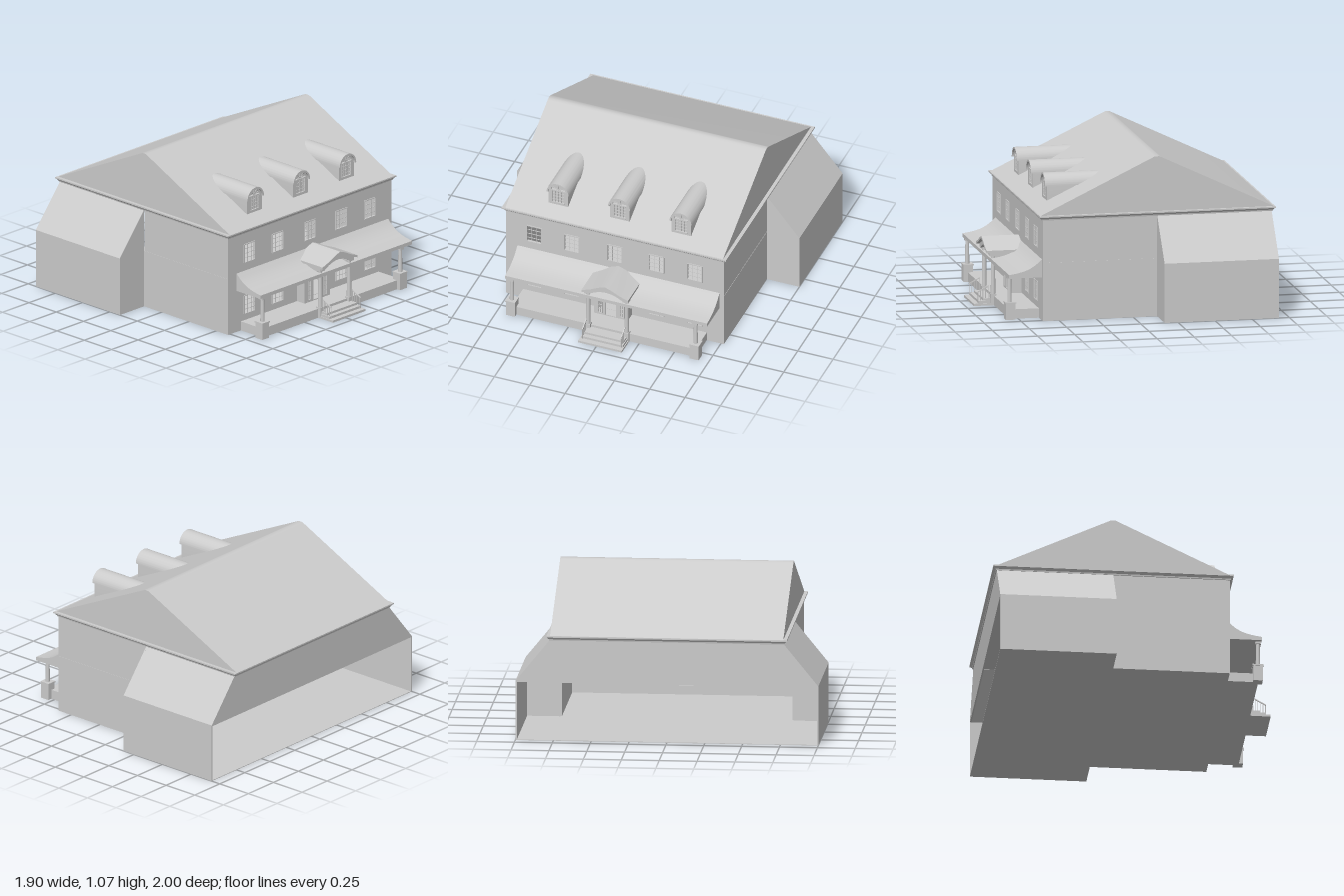
import * as THREE from 'three';
import { mergeGeometries, toCreasedNormals } from 'three/addons/utils/BufferGeometryUtils.js';

const mat = new THREE.MeshStandardMaterial({ color: 0xcccccc, side: THREE.DoubleSide });

// Built with the entrance facing local +z, then turned to face +x.
function box(x0, x1, y0, y1, z0, z1) {
  return new THREE.BoxGeometry(x1 - x0, y1 - y0, z1 - z0)
    .translate((x0 + x1) / 2, (y0 + y1) / 2, (z0 + z1) / 2);
}
const shapeOf = pts => new THREE.Shape(pts.map(p => new THREE.Vector2(...p)));
const rect = (x0, x1, y0, y1) => shapeOf([[x0, y0], [x1, y0], [x1, y1], [x0, y1]]);

// Shape in (x, y) pushed from z0 to z1
function slab(shape, z0, z1) {
  const g = new THREE.ExtrudeGeometry(shape, { depth: z1 - z0, bevelEnabled: false, curveSegments: 20 });
  return toCreasedNormals(g.translate(0, 0, z0), 0.6);
}
// Profile in (z, y) swept along x
function sweepX(pts, x0, x1) {
  return slab(shapeOf(pts.map(([z, y]) => [-z, y])), x0, x1).rotateY(Math.PI / 2);
}
function bar(a, b, t) {
  const A = new THREE.Vector3(...a), d = new THREE.Vector3(...b).sub(A);
  const q = new THREE.Quaternion().setFromUnitVectors(new THREE.Vector3(0, 1, 0), d.clone().normalize());
  return new THREE.BoxGeometry(t, d.length(), t).applyQuaternion(q)
    .translate(A.x + d.x / 2, A.y + d.y / 2, A.z + d.z / 2);
}
// Sash frame with glazing bars
function sash(x, y0, w, h, z, cols, rows) {
  const parts = [], t = 0.003, f = 0.006, l = x - w / 2, r = x + w / 2, y1 = y0 + h;
  for (const e of [l, r]) parts.push(box(e - f / 2, e + f / 2, y0, y1, z - 0.006, z + 0.004));
  for (const e of [y0, y1]) parts.push(box(l, r, e - f / 2, e + f / 2, z - 0.006, z + 0.004));
  for (let i = 1; i < cols; i++) parts.push(box(l + w * i / cols - t / 2, l + w * i / cols + t / 2, y0, y1, z - 0.004, z));
  for (let i = 1; i < rows; i++) parts.push(box(l, r, y0 + h * i / rows - t / 2, y0 + h * i / rows + t / 2, z - 0.004, z));
  return mergeGeometries(parts.map(p => p.toNonIndexed()));
}
// Half-round (or half-oval) outline
function halfOval(x, y, rx, ry) {
  const s = new THREE.Shape();
  s.moveTo(x + rx, y);
  s.absellipse(x, y, rx, ry, 0, Math.PI, false);
  s.closePath();
  return s;
}
// Radiating bars and a small hub for a fanlight
function fan(x, y, rx, ry, z, n) {
  const parts = [slab(halfOval(x, y, rx * 0.3, ry * 0.3), z - 0.004, z)];
  for (let i = 1; i < n; i++) {
    const a = Math.PI * i / n;
    parts.push(bar([x, y, z], [x + rx * Math.cos(a), y + ry * Math.sin(a), z], 0.003).toNonIndexed());
  }
  return mergeGeometries(parts);
}

export function createModel() {
  const root = new THREE.Group(), house = new THREE.Group();
  root.name = 'house';
  house.name = 'houseBody';
  house.rotation.y = Math.PI / 2;
  root.add(house);
  const add = (name, geo, parent = house) => {
    const m = new THREE.Mesh(geo, mat);
    m.name = name;
    parent.add(m);
    return m;
  };

  // Front wall with window and door openings
  const winX = [-0.57, -0.305, 0, 0.295, 0.565], W = 0.104, H = 0.128;
  const front = rect(-0.77, 0.77, 0, 0.68);
  for (const x of winX) {
    const rows = x === 0 ? [0.466] : [0.107, 0.466];
    for (const y of rows) {
      front.holes.push(rect(x - W / 2, x + W / 2, y, y + H));
      add('window', sash(x, y, W, H, 0.612, 3, 4));
    }
  }
  front.holes.push(rect(-0.1, 0.1, 0.065, 0.29));
  add('frontWall', slab(front, 0.595, 0.61));

  // Floor and the open-backed rear
  add('floor', box(-0.77, 0.77, 0, 0.004, -0.93, 0.61));
  add('upperBackWall', slab(shapeOf([[-1, 0.39], [1, 0.39], [0.77, 0.68], [-0.77, 0.68]]), -0.93, -0.92));

  // Side walls and lean-to wings
  for (const s of [-1, 1]) {
    const side = (x0, x1, ...r) => box(Math.min(s * x0, s * x1), Math.max(s * x0, s * x1), ...r);
    add('lowerSideWall', side(0.76, 0.771, 0, 0.39, -0.16, 0.61));
    add('upperSideWall', side(0.76, 0.769, 0.39, 0.68, -0.16, 0.61));
    add('wingFloor', side(0.77, 1, 0, 0.004, -0.93, -0.16));
    add('wingOuterWall', side(0.99, 1, 0, 0.39, -0.93, -0.16));
    add('wingFrontWall', slab(shapeOf([[s * 0.77, 0], [s, 0], [s, 0.39], [s * 0.77, 0.68]]), -0.17, -0.16));
    add('wingRoof', slab(shapeOf([[s * 0.765, 0.685], [s, 0.397], [s, 0.385], [s * 0.765, 0.673]]), -0.93, -0.16));
  }

  // Cornice in flared layers
  [[0.675, 0.684, 0.006, 0.008], [0.684, 0.697, 0.01, 0.02], [0.697, 0.706, 0.024, 0.024]].forEach(([y0, y1, a, b]) => {
    const g = box(-1, 1, y0, y1, -1, 1).toNonIndexed(), p = g.attributes.position;
    for (let i = 0; i < p.count; i++) {
      const o = p.getY(i) > (y0 + y1) / 2 ? b : a;
      p.setX(i, p.getX(i) * (0.77 + o));
      p.setZ(i, -0.16 + p.getZ(i) * (0.77 + o));
    }
    g.computeVertexNormals();
    add('cornice', g);
  });
  add('mainRoof', sweepX([[-0.95, 0.703], [-0.19, 1.066], [-0.175, 1.073], [-0.145, 1.073], [-0.13, 1.066], [0.63, 0.703]], -0.77, 0.77));

  // Barrel-roofed dormers
  for (const x of [-0.435, 0, 0.435]) {
    const dormer = new THREE.Group();
    dormer.name = 'dormer';
    house.add(dormer);
    const arch = r => {
      const s = new THREE.Shape();
      s.moveTo(x - r, 0.752);
      s.lineTo(x + r, 0.752);
      s.lineTo(x + r, 0.852);
      s.absarc(x, 0.852, r, 0, Math.PI, false);
      s.closePath();
      return s;
    };
    add('dormerBody', slab(arch(0.07), 0.13, 0.51), dormer);
    const face = arch(0.07);
    face.holes.push(rect(x - 0.043, x + 0.043, 0.768, 0.864), halfOval(x, 0.869, 0.05, 0.038));
    add('dormerFace', slab(face, 0.51, 0.525), dormer);
    add('dormerWindow', sash(x, 0.768, 0.086, 0.096, 0.522, 4, 4), dormer);
    add('dormerFanlight', fan(x, 0.869, 0.05, 0.038, 0.52, 6), dormer);
    const shell = new THREE.Shape();
    shell.absarc(x, 0.85, 0.078, 0, Math.PI, false);
    shell.absarc(x, 0.85, 0.066, Math.PI, 0, true);
    shell.closePath();
    add('dormerRoof', slab(shell, 0.13, 0.538), dormer);
  }

  // Porch deck, corner posts and swept roof
  add('porchDeck', box(-0.65, 0.65, 0, 0.063, 0.61, 0.81));
  for (const x of [-0.65, 0.65]) {
    add('postPedestal', box(x - 0.032, x + 0.032, 0, 0.108, 0.775, 0.838));
    add('pedestalCap', box(x - 0.035, x + 0.035, 0.108, 0.117, 0.77, 0.842));
    add('porchPost', new THREE.CylinderGeometry(0.012, 0.015, 0.18, 16).translate(x, 0.2, 0.808));
    add('postCapital', box(x - 0.018, x + 0.018, 0.272, 0.288, 0.79, 0.826));
  }
  const curve = new THREE.SplineCurve([[0.61, 0.41], [0.65, 0.373], [0.7, 0.343], [0.76, 0.324], [0.83, 0.312]]
    .map(p => new THREE.Vector2(...p))).getPoints(14).map(v => [v.x, v.y]);
  add('porchRoof', sweepX([...curve, [0.83, 0.288], [0.61, 0.288]], -0.69, 0.74));

  // Entrance vestibule: glazed door, sidelights and fanlight
  const entry = rect(-0.12, 0.12, 0.06, 0.3);
  entry.holes.push(rect(-0.04, 0.04, 0.068, 0.236), halfOval(0, 0.25, 0.085, 0.036));
  for (const s of [-1, 1]) {
    entry.holes.push(rect(s * 0.076 - 0.015, s * 0.076 + 0.015, 0.075, 0.236));
    add('sidelight', sash(s * 0.076, 0.075, 0.03, 0.161, 0.678, 2, 5));
    add('vestibuleSide', box(s * 0.115 - 0.005, s * 0.115 + 0.005, 0.06, 0.3, 0.605, 0.67));
  }
  add('entryWall', slab(entry, 0.668, 0.68));
  add('doorFrame', sash(0, 0.068, 0.08, 0.168, 0.678, 1, 1));
  add('fanlight', fan(0, 0.25, 0.085, 0.036, 0.677, 8));

  // Entrance portico
  const portico = new THREE.Group();
  portico.name = 'portico';
  portico.position.x = 0.027;
  house.add(portico);
  const roofLine = [[-0.165, 0.368], [-0.1, 0.392], [-0.045, 0.42], [0, 0.436], [0.045, 0.42], [0.1, 0.392], [0.165, 0.368]];
  const underside = roofLine.map(([x, y]) => [x, y - 0.016]).reverse();
  add('porticoRoof', slab(shapeOf([...roofLine, ...underside]), 0.61, 0.862), portico);
  const gable = new THREE.Shape();
  gable.moveTo(-0.15, 0.335);
  gable.lineTo(-0.118, 0.335);
  gable.quadraticCurveTo(0, 0.415, 0.118, 0.335);
  gable.lineTo(0.15, 0.335);
  gable.lineTo(0.15, 0.36);
  gable.lineTo(0.045, 0.408);
  gable.lineTo(0, 0.424);
  gable.lineTo(-0.045, 0.408);
  gable.lineTo(-0.15, 0.36);
  add('pediment', slab(gable, 0.815, 0.84), portico);
  for (const s of [-1, 1]) {
    const x = s * 0.136;
    add('porticoBeam', box(x - 0.012, x + 0.012, 0.265, 0.36, 0.61, 0.8), portico);
    add('porticoColumn', new THREE.CylinderGeometry(0.013, 0.016, 0.29, 20).translate(x, 0.19, 0.812), portico);
    add('columnBase', box(x - 0.019, x + 0.019, 0, 0.075, 0.793, 0.831), portico);
    add('columnCapital', box(x - 0.02, x + 0.02, 0.328, 0.352, 0.79, 0.836), portico);
    // Stair railing
    const rail = [bar([x, 0.13, 0.842], [x, 0.09, 0.915], 0.007)];
    for (let i = 0; i < 5; i++) {
      const t = i / 4, z = 0.845 + 0.068 * t;
      rail.push(bar([x, 0.015, z], [x, 0.13 - 0.04 * t, z], 0.004));
    }
    add('stairRailing', mergeGeometries(rail), portico);
  }
  // Entrance steps
  [[0.88, 0.046], [0.91, 0.031], [0.945, 0.015]].forEach(([z, y], i) =>
    add('step', box(-0.142 - i * 0.006, 0.142 + i * 0.006, 0, y, 0.8, z), portico));

  return root;
}
